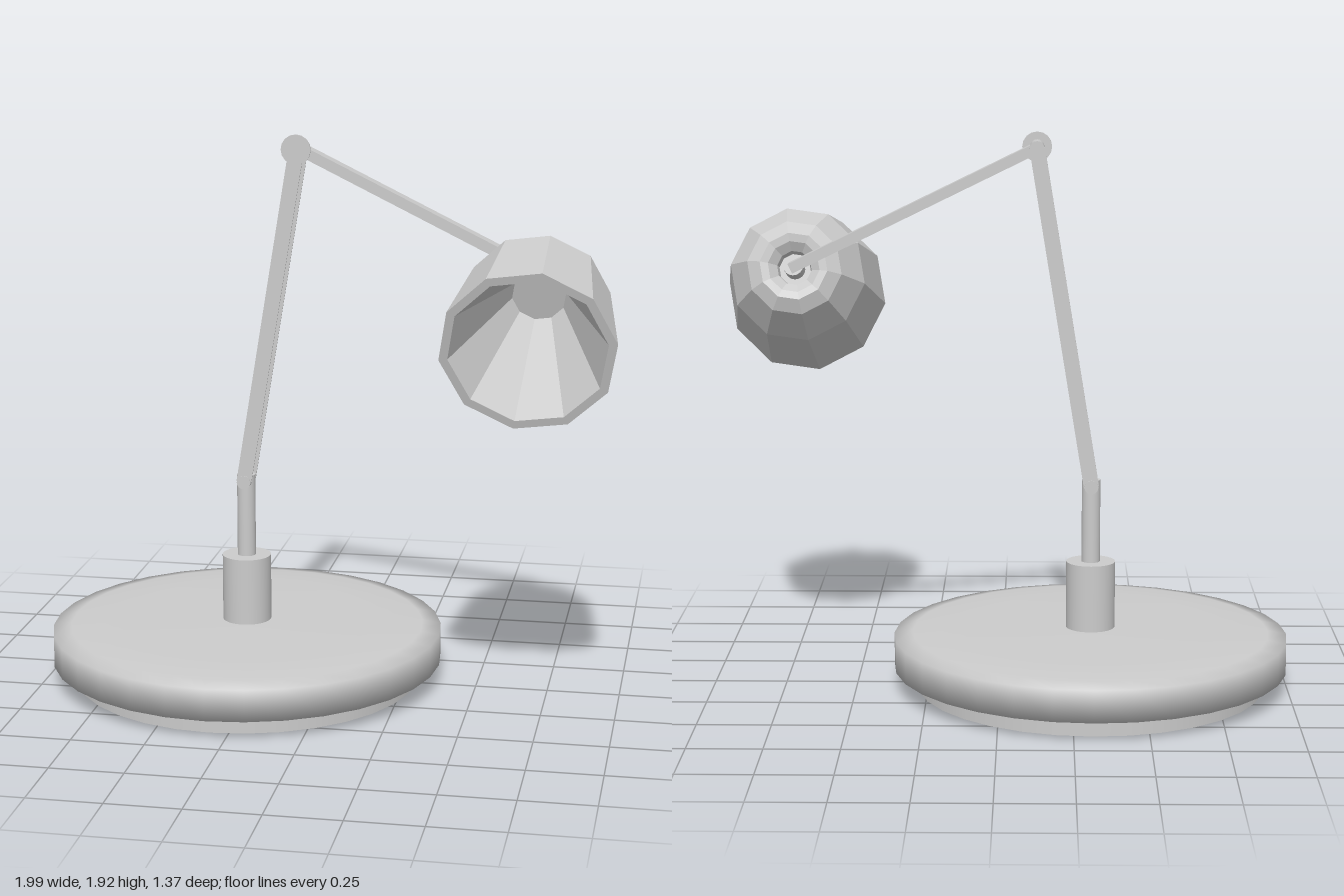
import * as THREE from 'three';
import { toCreasedNormals } from 'three/addons/utils/BufferGeometryUtils.js';

const smooth = new THREE.MeshStandardMaterial({ color: 0xcccccc });
const faceted = new THREE.MeshStandardMaterial({ color: 0xcccccc, flatShading: true });
const v2 = (list) => list.map(([r, y]) => new THREE.Vector2(r, y));

export function createModel() {
  const model = new THREE.Group();
  model.name = 'deskLamp';

  const add = (name, geometry, material = smooth, parent = model) => {
    const mesh = new THREE.Mesh(geometry, material);
    mesh.name = name;
    parent.add(mesh);
    return mesh;
  };

  // Upright cylinder between two heights
  const column = (name, x, r, y0, y1, sides) => {
    const mesh = add(name, new THREE.CylinderGeometry(r, r, y1 - y0, sides));
    mesh.position.set(x, (y0 + y1) / 2, 0);
  };

  // Cylinder lying along z
  const pin = (name, x, y, r, z0, z1) => {
    const mesh = add(name, new THREE.CylinderGeometry(r, r, z1 - z0, 16));
    mesh.rotation.x = Math.PI / 2;
    mesh.position.set(x, y, (z0 + z1) / 2);
  };

  // Straight bar in the xy plane from a to b
  const bar = (name, a, b, width, depth, z = 0) => {
    const dx = b[0] - a[0], dy = b[1] - a[1];
    const mesh = add(name, new THREE.BoxGeometry(Math.hypot(dx, dy), width, depth), faceted);
    mesh.rotation.z = Math.atan2(dy, dx);
    mesh.position.set((a[0] + b[0]) / 2, (a[1] + b[1]) / 2, z);
  };

  const baseX = -0.315;
  const lowerJoint = [baseX, 0.71];
  const elbow = [-0.125, 1.873];
  const armEnd = [0.715, 1.463];

  // Base: recessed foot, domed disc, post and stem
  column('foot', baseX, 0.605, 0, 0.07, 32);
  const disc = add('baseDisc', new THREE.LatheGeometry(v2([
    [0, 0.07], [0.685, 0.07], [0.685, 0.18], [0.62, 0.192], [0.45, 0.204], [0, 0.206],
  ]), 32));
  disc.position.x = baseX;
  column('post', baseX, 0.085, 0.2, 0.44, 32);
  column('stem', baseX, 0.032, 0.44, 0.73, 24);

  // Lower arm: two thin plates pinned at both ends
  for (const side of [1, -1]) bar('lowerArmPlate', lowerJoint, elbow, 0.052, 0.005, 0.039 * side);
  pin('lowerPin', ...lowerJoint, 0.024, -0.046, 0.046);
  pin('elbowPin', ...elbow, 0.025, -0.046, 0.05);
  pin('elbowDisc', ...elbow, 0.051, 0.046, 0.053);

  // Upper arm
  bar('upperArm', elbow, armEnd, 0.036, 0.055);

  // Ten-sided shade, local +y pointing to its back
  const head = new THREE.Group();
  head.name = 'lampHead';
  head.position.set(0.71, 1.31, 0.527);
  head.rotation.x = -1.26;
  model.add(head);
  add('shade', new THREE.LatheGeometry(v2([
    [0, 0.38], [0.09, 0.38], [0.258, 0], [0.287, 0], [0.237, 0.355], [0.165, 0.472],
    [0.118, 0.502], [0.09, 0.495], [0.06, 0.47], [0.055, 0.44], [0, 0.44],
  ]), 10, THREE.MathUtils.degToRad(10)), faceted, head);

  // Socket knob joining the shade to the arm
  const knob = new THREE.CylinderGeometry(0.035, 0.035, 0.08, 16);
  add('shadeSocket', toCreasedNormals(knob, 0.7), smooth, head).position.y = 0.475;

  return model;
}
